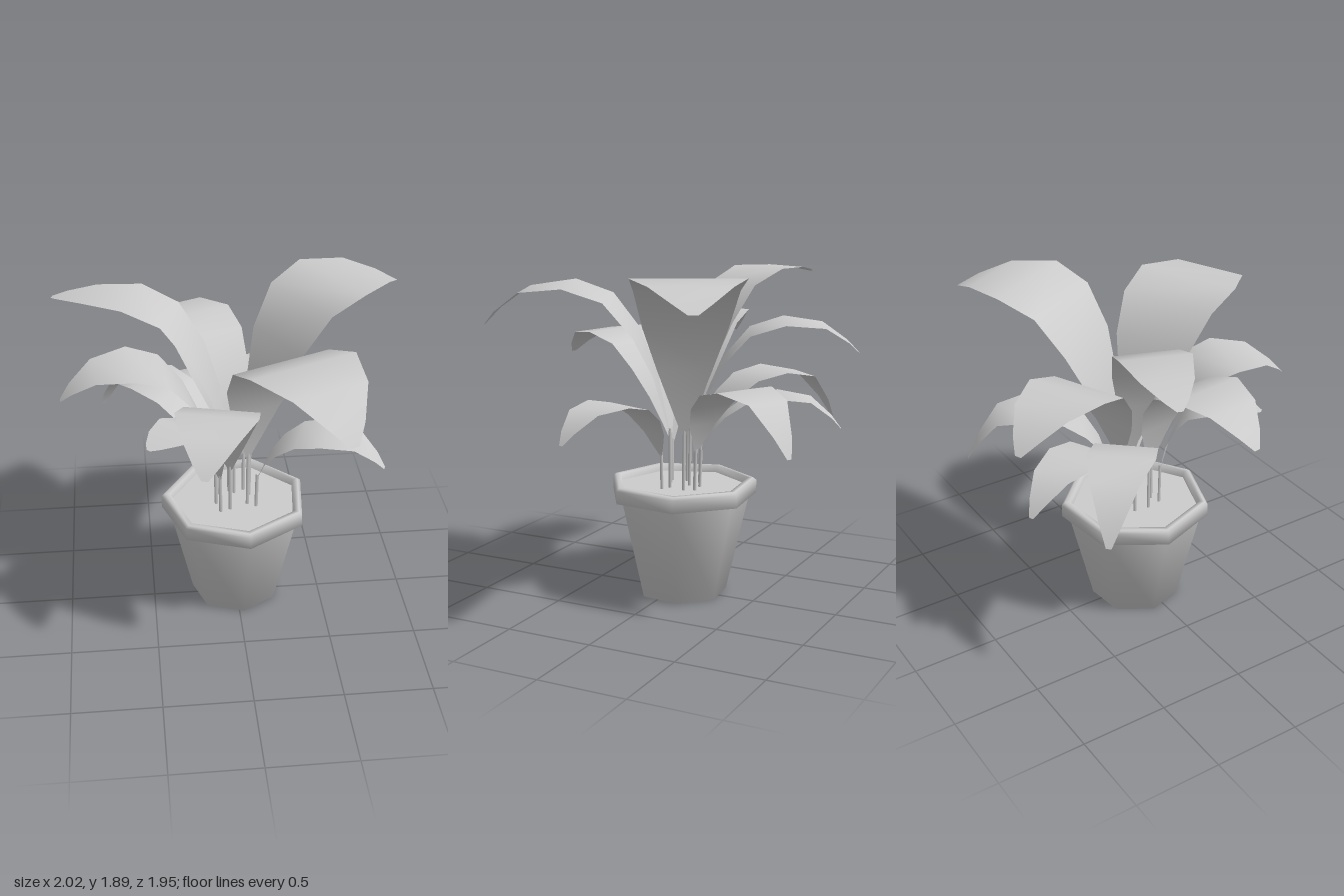
import * as THREE from 'three';

const SIDES = 7;
const material = new THREE.MeshStandardMaterial({ color: 0xcccccc });
const leafMaterial = new THREE.MeshStandardMaterial({ color: 0xcccccc, side: THREE.DoubleSide });

// Seven-sided turned shape with a corner towards the front right
function turned(name, points) {
  const profile = points.map(([r, y]) => new THREE.Vector2(r, y));
  const mesh = new THREE.Mesh(new THREE.LatheGeometry(profile, SIDES, -Math.PI / 4), material);
  mesh.name = name;
  return mesh;
}

// Blade rows: fraction along the leaf, fraction of peak height, fraction of width, share of the tip's drop
const ROWS = [
  [0, 0, 0.04, 0], [0.08, 0.41, 0.5, 0], [0.18, 0.68, 0.77, 0], [0.33, 0.91, 0.93, 0],
  [0.54, 1, 1, 0], [0.78, 1, 0.7, 0.13], [0.93, 1, 0.33, 0.64], [1, 1, 0.08, 1],
];

// Arching blade with level cross rows
function bladeGeometry({ base, tip, y0, peak, tipY, width }) {
  const dx = tip[0] - base[0], dz = tip[1] - base[1];
  const length = Math.hypot(dx, dz);
  const side = [dz / length, -dx / length];
  const positions = [], index = [];
  ROWS.forEach(([f, h, w, drop], i) => {
    const y = y0 + (peak - y0) * h - (peak - tipY) * drop;
    for (const s of [-0.5, 0.5]) {
      positions.push(base[0] + dx * f + side[0] * w * width * s, y,
        base[1] + dz * f + side[1] * w * width * s);
    }
    if (i > 0) {
      const a = 2 * i - 2;
      index.push(a, a + 1, a + 2, a + 1, a + 3, a + 2);
    }
  });
  const geometry = new THREE.BufferGeometry();
  geometry.setAttribute('position', new THREE.Float32BufferAttribute(positions, 3));
  geometry.setIndex(index);
  geometry.computeVertexNormals();
  return geometry;
}

// Thin four-sided stalk from the soil to the blade
function stemGeometry({ base, y0 }) {
  const from = new THREE.Vector3(base[0] * 0.95, 0.6, base[1] * 0.95);
  const to = new THREE.Vector3(base[0], y0 + 0.03, base[1]);
  return new THREE.TubeGeometry(new THREE.LineCurve3(from, to), 1, 0.01, 4);
}

// base and tip are [x, z]
const LEAVES = [
  // tall leaves
  { name: 'tallFrontLeaf', base: [0.07, 0.0], tip: [0.49, 0.96], y0: 0.95, peak: 1.8, tipY: 1.57, width: 0.63 },
  { name: 'tallRightLeaf', base: [0.09, -0.1], tip: [1.0, -0.6], y0: 0.95, peak: 1.89, tipY: 1.76, width: 0.61 },
  { name: 'tallLeftLeaf', base: [-0.03, -0.08], tip: [-1.0, -0.43], y0: 0.95, peak: 1.86, tipY: 1.81, width: 0.38 },
  // middle leaves
  { name: 'middleFrontLeaf', base: [-0.04, 0.05], tip: [-0.24, 0.82], y0: 0.9, peak: 1.5, tipY: 1.33, width: 0.45 },
  { name: 'middleBackLeaf', base: [0.0, -0.13], tip: [-0.37, -0.97], y0: 0.92, peak: 1.6, tipY: 1.42, width: 0.48 },
  { name: 'middleLeftLeaf', base: [-0.12, -0.02], tip: [-0.97, 0.07], y0: 0.92, peak: 1.6, tipY: 1.42, width: 0.44 },
  // low leaves
  { name: 'lowBackLeftLeaf', base: [-0.11, -0.11], tip: [-0.75, -0.68], y0: 0.85, peak: 1.28, tipY: 0.97, width: 0.37 },
  { name: 'lowBackRightLeaf', base: [0.06, -0.16], tip: [0.44, -0.88], y0: 0.85, peak: 1.28, tipY: 0.97, width: 0.37 },
  { name: 'lowRightLeaf', base: [0.12, 0.03], tip: [0.81, 0.27], y0: 0.82, peak: 1.18, tipY: 1.0, width: 0.34 },
  { name: 'lowFrontLeftLeaf', base: [-0.1, 0.07], tip: [-0.51, 0.46], y0: 0.85, peak: 1.33, tipY: 1.31, width: 0.33 },
  { name: 'lowBackLeaf', base: [-0.03, -0.15], tip: [-0.32, -0.89], y0: 0.82, peak: 1.18, tipY: 0.99, width: 0.33 },
];

export function createModel() {
  const model = new THREE.Group();
  model.name = 'pottedPlant';

  // Pot
  const pot = new THREE.Group();
  pot.name = 'pot';
  pot.position.set(-0.003, 0, -0.043);
  pot.add(
    turned('potBody', [[0, 0], [0.26, 0], [0.395, 0.58]]),
    turned('potRim', [[0.385, 0.575], [0.434, 0.58], [0.434, 0.655], [0.415, 0.67], [0.385, 0.67], [0.375, 0.625]]),
    turned('soil', [[0.38, 0.63], [0, 0.63]]),
  );
  model.add(pot);

  // Leaves, each with its stem
  for (const spec of LEAVES) {
    const leaf = new THREE.Group();
    leaf.name = spec.name;
    const blade = new THREE.Mesh(bladeGeometry(spec), leafMaterial);
    blade.name = 'blade';
    const stem = new THREE.Mesh(stemGeometry(spec), material);
    stem.name = 'stem';
    leaf.add(blade, stem);
    model.add(leaf);
  }
  return model;
}
